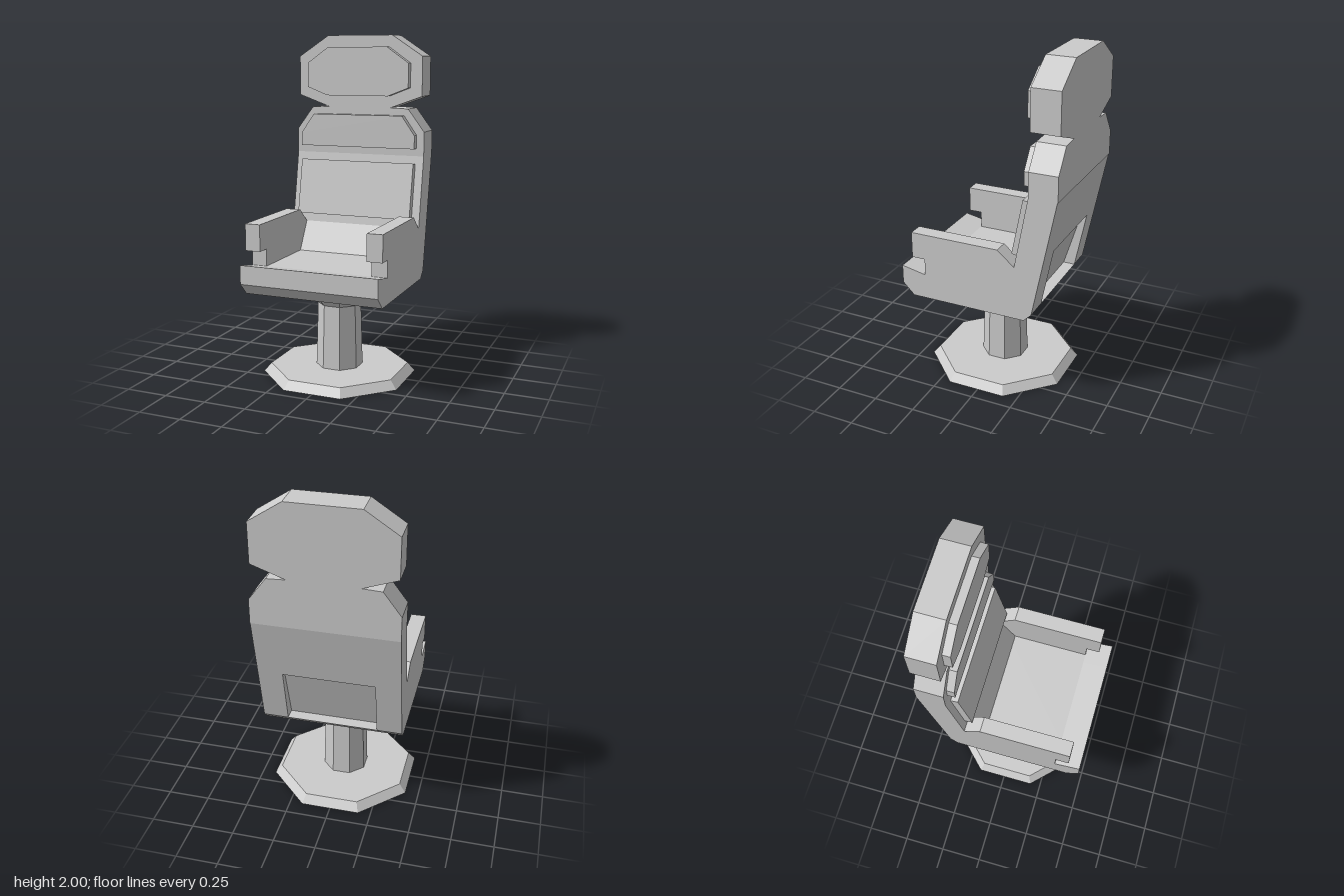
import * as THREE from 'three';

const material = new THREE.MeshStandardMaterial({ color: 0xcccccc, flatShading: true });

function addMesh(group, name, geometry) {
  const mesh = new THREE.Mesh(geometry, material);
  mesh.name = name;
  group.add(mesh);
  return mesh;
}

const extrude = (points, depth) => new THREE.ExtrudeGeometry(
  new THREE.Shape(points.map(([a, b]) => new THREE.Vector2(a, b))),
  { depth, bevelEnabled: false });

// Side profile of [z, y] points, extruded across x0..x1
const acrossX = (points, x0, x1) =>
  extrude(points, x1 - x0).rotateY(-Math.PI / 2).translate(x1, 0, 0);

// Right half of a front outline of [x, y] points (bottom to top), mirrored and extruded over z0..z1
function symmetric(half, z0, z1) {
  const mirrored = half.map(([x, y]) => [-x, y]).reverse();
  return extrude([...half, ...mirrored], z1 - z0).translate(0, 0, z0);
}

// Octagonal section with flat sides facing the axes; sizes are half-widths
function octagon(top, bottom, y0, y1) {
  const k = 1 / Math.cos(Math.PI / 8);
  return new THREE.CylinderGeometry(top * k, bottom * k, y1 - y0, 8)
    .rotateY(Math.PI / 8).translate(0, (y0 + y1) / 2, 0.01);
}

export function createModel() {
  const chair = new THREE.Group();
  chair.name = 'chair';

  // Pedestal
  const pedestal = new THREE.Group();
  pedestal.name = 'pedestal';
  chair.add(pedestal);
  addMesh(pedestal, 'foot', octagon(0.38, 0.42, 0, 0.05));
  addMesh(pedestal, 'column', octagon(0.118, 0.128, 0.05, 0.43));
  addMesh(pedestal, 'flare', octagon(0.21, 0.118, 0.43, 0.54));

  // Shell profiles: shared underside, back and backrest front
  const front = [[0.48, 0.72], [0.48, 0.61], [0.41, 0.54], [-0.29, 0.54], [-0.335, 0.585]];
  const back = [[-0.475, 1.285], [-0.31, 1.285], [-0.23, 0.86]];
  const recess = [[-0.265, 0.585], [-0.37, 0.93], [-0.404, 0.93]];
  const seatTop = [[-0.13, 0.69], [0.33, 0.69]];
  const armTop = [[-0.13, 0.945], [0.41, 0.945], [0.41, 0.79], [0.33, 0.79], [0.33, 0.69]];

  // Seat, with a recess in the back of the centre section
  addMesh(chair, 'seatCentre', acrossX([...front, ...recess, ...back, ...seatTop], -0.265, 0.265));
  for (const [side, s] of [['left', 1], ['right', -1]]) {
    const span = (a, b) => (s > 0 ? [a, b] : [-b, -a]);
    addMesh(chair, side + 'SeatEdge', acrossX([...front, ...back, ...seatTop], ...span(0.265, 0.32)));
    addMesh(chair, side + 'Armrest', acrossX([...front, ...back, ...armTop], ...span(0.32, 0.411)));
  }

  // Shoulders and headrest in one notched outline
  addMesh(chair, 'upperBackrest', symmetric([
    [0.411, 1.285], [0.411, 1.43], [0.31, 1.565], [0.2, 1.57],
    [0.395, 1.64], [0.395, 1.875], [0.205, 2],
  ], -0.478, -0.31));

  // Cushions
  addMesh(chair, 'headCushion', symmetric(
    [[0.195, 1.64], [0.323, 1.69], [0.323, 1.835], [0.188, 1.93]], -0.315, -0.265));
  addMesh(chair, 'shoulderCushion', symmetric(
    [[0.365, 1.33], [0.365, 1.41], [0.285, 1.525]], -0.315, -0.265));
  addMesh(chair, 'backCushion', acrossX(
    [[-0.245, 0.905], [-0.193, 0.915], [-0.258, 1.245], [-0.31, 1.235]], -0.362, 0.362));

  return chair;
}
